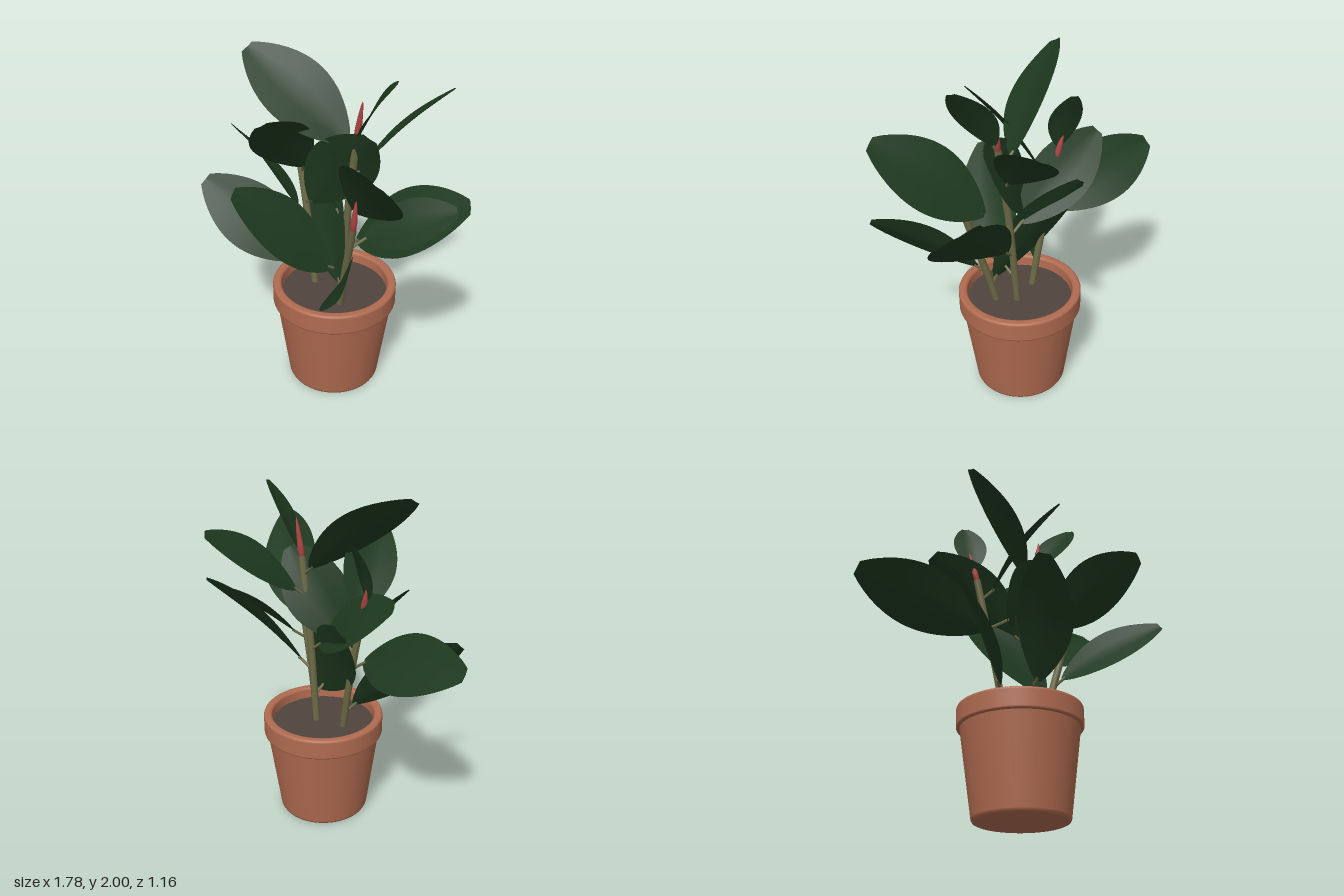
import * as THREE from 'three';

const V = (a) => new THREE.Vector3(...a);

function material(name, color, side = THREE.FrontSide) {
  const m = new THREE.MeshStandardMaterial({ color, side });
  m.name = name;
  return m;
}

function add(parent, name, geometry, mat) {
  const mesh = new THREE.Mesh(geometry, mat);
  mesh.name = name;
  parent.add(mesh);
  return mesh;
}

function lathe(profile, sides) {
  return new THREE.LatheGeometry(profile.map(([r, y]) => new THREE.Vector2(r, y)), sides);
}

// Point on a stem polyline at a given height
function stemAt(points, y) {
  let i = 0;
  while (i < points.length - 2 && points[i + 1][1] < y) i++;
  const a = V(points[i]), b = V(points[i + 1]);
  return a.lerp(b, (y - a.y) / (b.y - a.y));
}

// Elliptic blade from base to tip, folded at the midrib and gently arched
function leafGeometry(base, tip, facing, width) {
  const along = tip.clone().sub(base);
  const length = along.length();
  const dir = along.clone().normalize();
  const up = facing.clone().addScaledVector(dir, -facing.dot(dir)).normalize();
  if (up.y < 0) up.negate();
  const side = new THREE.Vector3().crossVectors(dir, up);
  const g = new THREE.PlaneGeometry(1, 1, 6, 18);
  const p = g.attributes.position;
  const v = new THREE.Vector3();
  for (let i = 0; i < p.count; i++) {
    const s = p.getX(i) * 2;
    const t = p.getY(i) + 0.5;
    const half = width / 2 * Math.pow(Math.sin(Math.PI * (0.015 + 0.945 * t)), 0.75);
    const lift = 0.045 * length * Math.sin(Math.PI * t) + 0.12 * half * (Math.abs(s) - 0.5);
    v.copy(base).addScaledVector(along, t).addScaledVector(side, s * half).addScaledVector(up, lift);
    p.setXYZ(i, v.x, v.y, v.z);
  }
  g.computeVertexNormals();
  return g;
}

export function createModel() {
  const clay = material('terracotta', 0xb06b50);
  const soilMat = material('soil', 0x4f433d);
  const bark = material('stem olive', 0x6b6a46);
  const green = material('leaf green', 0x1e391f, THREE.DoubleSide);
  const red = material('sheath red', 0xac4444);
  const model = new THREE.Group();
  model.name = 'pottedPlant';

  // Tapered pot with a thick rim
  const pot = new THREE.Group();
  pot.name = 'pot';
  pot.position.set(0.15, 0, 0.003);
  model.add(pot);
  add(pot, 'potBody', lathe([
    [0, 0], [0.252, 0], [0.256, 0], [0.265, 0.004], [0.271, 0.015], [0.2717, 0.02], [0.3393, 0.52], [0.34, 0.525],
  ], 64), clay);
  add(pot, 'potRim', lathe([
    [0.33, 0.522], [0.348, 0.522], [0.352, 0.522], [0.358, 0.525], [0.36, 0.531], [0.36, 0.535],
    [0.36, 0.629], [0.36, 0.633], [0.357, 0.641], [0.349, 0.645], [0.345, 0.645], [0.326, 0.645],
    [0.322, 0.645], [0.314, 0.641], [0.31, 0.633], [0.3097, 0.629], [0.303, 0.55],
  ], 64), clay);
  const soil = add(pot, 'soil', new THREE.CircleGeometry(0.308, 48), soilMat);
  soil.rotation.x = -Math.PI / 2;
  soil.position.y = 0.58;

  // Three stems, each ending in a red leaf sheath
  const stems = {
    a: { points: [[0.025, 0.55, 0.05], [-0.02, 0.8, 0.045], [-0.075, 1.05, 0.04], [-0.15, 1.38, 0.04]], tip: [-0.2, 1.56, 0.03] },
    b: { points: [[0.185, 0.55, -0.02], [0.205, 0.8, -0.02], [0.23, 1.1, -0.02], [0.295, 1.6, -0.02]], tip: [0.325, 1.82, -0.03] },
    c: { points: [[0.275, 0.55, 0.06], [0.33, 0.78, 0.075], [0.385, 0.98, 0.09], [0.435, 1.17, 0.1]], tip: [0.455, 1.35, 0.1] },
  };
  for (const [key, { points, tip }] of Object.entries(stems)) {
    const curve = new THREE.CatmullRomCurve3(points.map(V));
    add(model, 'stem_' + key, new THREE.TubeGeometry(curve, 16, 0.021, 10), bark);
    const start = V(points[3]), axis = V(tip).sub(start), h = axis.length();
    const sheath = add(model, 'sheath_' + key, lathe(
      [[0, -0.02], [0.016, -0.01], [0.018, 0.25 * h], [0.013, 0.6 * h], [0.006, 0.9 * h], [0, h]], 10), red);
    sheath.position.copy(start);
    sheath.quaternion.setFromUnitVectors(new THREE.Vector3(0, 1, 0), axis.normalize());
  }

  // Leaves: stem, base, tip, facing direction, width
  const leaves = [
    ['b', [0.21, 1.55, -0.03], [-0.31, 1.98, 0.25], [0.7, 0.63, 0.3], 0.38],
    ['a', [-0.17, 1.445, 0.045], [-0.18, 1.785, -0.07], [-0.3, 0.3, 0.9], 0.195],
    ['b', [0.15, 1.1, -0.02], [-0.42, 1.49, 0], [0.41, 0.55, -0.73], 0.34],
    ['a', [-0.12, 1.05, 0.08], [-0.88, 1.26, 0.04], [0.2, 0.65, -0.73], 0.37],
    ['a', [-0.03, 0.735, 0.09], [-0.515, 1.165, 0.45], [0.76, 0.46, 0.45], 0.39],
    ['b', [0.22, 0.8, 0.09], [-0.01, 1.33, 0.555], [0.76, 0.55, -0.25], 0.37],
    ['c', [0.28, 0.735, 0.07], [-0.17, 1.31, -0.15], [-0.1, 0.3, 0.9], 0.37],
    ['a', [-0.06, 1.32, 0.06], [0.16, 1.755, 0.47], [-0.8, 0.6, -0.2], 0.32],
    ['c', [0.36, 1.21, 0.03], [0.85, 1.68, 0.31], [-0.1, 0.53, -0.84], 0.39],
    ['b', [0.32, 1.63, -0.02], [0.57, 1.985, -0.035], [-0.7, 0.47, 0.53], 0.23],
    ['b', [0.28, 1.42, -0.08], [0.44, 1.8, -0.56], [-0.6, 0.7, 0.35], 0.31],
    ['a', [0.03, 1.14, 0.08], [0.39, 1.635, -0.03], [0.6, -0.2, 0.75], 0.38],
    ['b', [0.28, 0.965, -0.05], [0.865, 1.37, -0.3], [-0.1, 0.57, 0.8], 0.39],
    ['c', [0.43, 1.08, 0.02], [0.82, 1.33, -0.26], [-0.1, 0.6, 0.8], 0.28],
    ['c', [0.38, 0.84, 0.1], [0.82, 1.12, 0.48], [-0.8, 0.45, 0.5], 0.32],
  ];
  leaves.forEach(([stem, b, t, facing, width], i) => {
    const base = V(b), tip = V(t);
    add(model, 'leaf_' + i, leafGeometry(base, tip, V(facing), width), green);
    // Short stalk joining the blade to its stem
    const root = stemAt(stems[stem].points, Math.max(0.6, b[1] - 0.06));
    const end = base.clone().lerp(tip, 0.03);
    const bend = root.clone().lerp(base, 0.6);
    const stalk = new THREE.QuadraticBezierCurve3(root, bend, end);
    add(model, 'leafStalk_' + i, new THREE.TubeGeometry(stalk, 6, 0.009, 6), bark);
  });
  return model;
}
